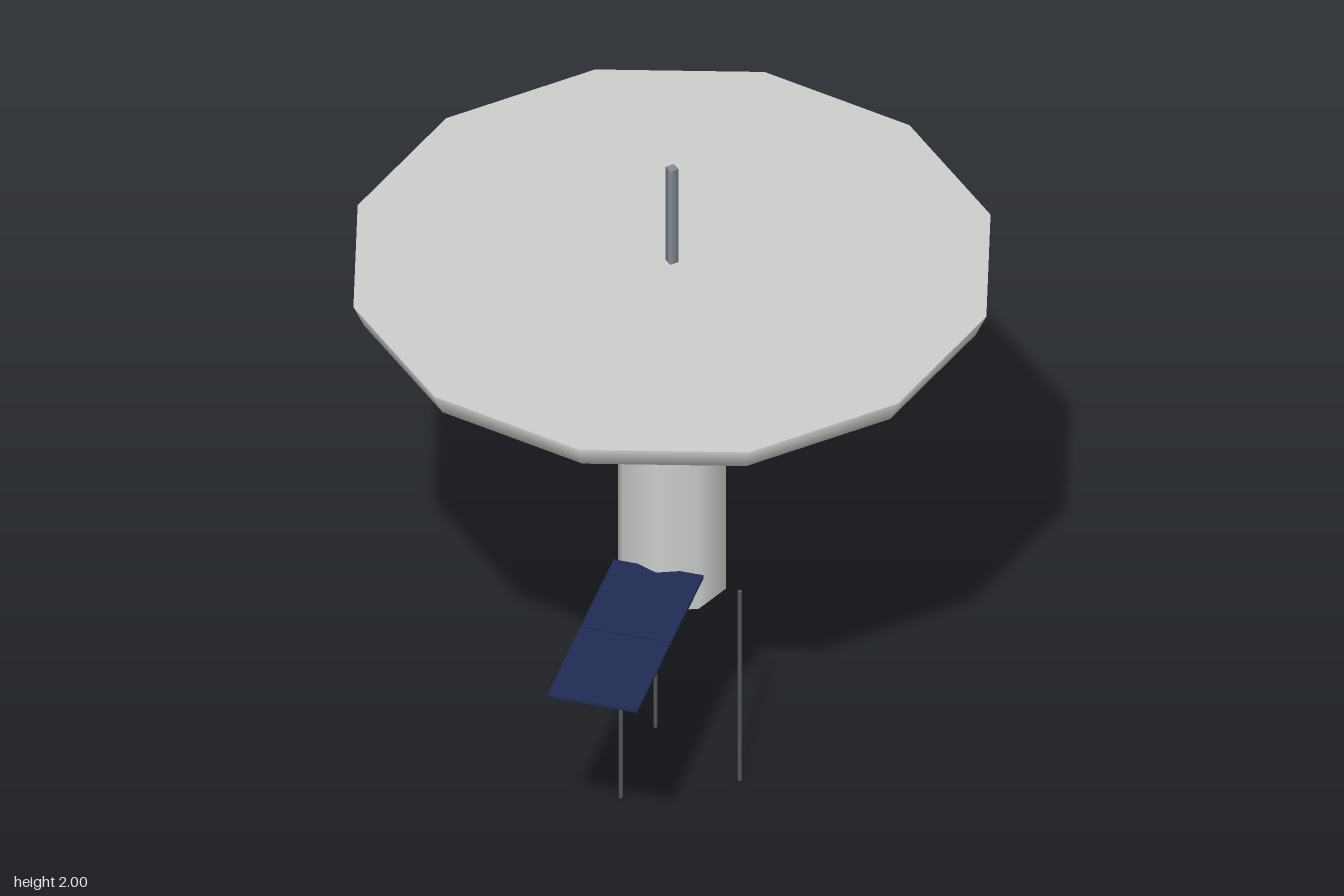
import * as THREE from 'three';

export function createModel() {
  const model = new THREE.Group();
  model.name = 'satellite';

  const mat = (name, color) => {
    const m = new THREE.MeshStandardMaterial({ color });
    m.name = name;
    return m;
  };
  const shell = mat('paleGrey', 0xcccfcd);
  const metal = mat('steelGrey', 0x868b97);
  const dark = mat('darkGrey', 0x565b5e);
  const solar = mat('navyBlue', 0x202c54);

  const add = (name, geometry, material, x, y, z, parent = model) => {
    const mesh = new THREE.Mesh(geometry, material);
    mesh.name = name;
    mesh.position.set(x, y, z);
    parent.add(mesh);
    return mesh;
  };
  // upright rod between two heights
  const rod = (name, radius, sides, y0, y1, material, x = 0, z = 0) =>
    add(name, new THREE.CylinderGeometry(radius, radius, y1 - y0, sides), material, x, (y0 + y1) / 2, z);

  // Body and mast
  rod('body', 0.15, 8, 0.63, 1.127, shell);
  rod('mast', 0.018, 4, 1.1, 2, metal);

  // Dish: flattened lower hemisphere closed by a flat top
  const dish = new THREE.Group();
  dish.name = 'dish';
  dish.position.y = 1.69;
  model.add(dish);
  const bowl = new THREE.SphereGeometry(0.873, 12, 6, 0, Math.PI * 2, Math.PI / 2, Math.PI / 2);
  bowl.scale(1, 0.298, 1);
  add('dishBowl', bowl, shell, 0, 0, 0, dish);
  add('dishTop', new THREE.CircleGeometry(0.873, 12).rotateX(-Math.PI / 2), shell, 0, 0, 0, dish);

  // Three thin legs around the body
  for (let i = 0; i < 3; i++) {
    const a = (i * Math.PI * 2) / 3;
    rod('leg' + (i + 1), 0.006, 4, 0, 0.63, dark, 0.188 * Math.cos(a), 0.188 * Math.sin(a));
  }

  // Two solar panels in a row, with a narrow gap
  const panels = new THREE.Group();
  panels.name = 'solarPanels';
  model.add(panels);
  for (const [name, z] of [['innerPanel', 0.28], ['outerPanel', 0.595]]) {
    add(name, new THREE.BoxGeometry(0.25, 0.009, 0.309), solar, 0, 0.755, z, panels);
  }

  return model;
}
